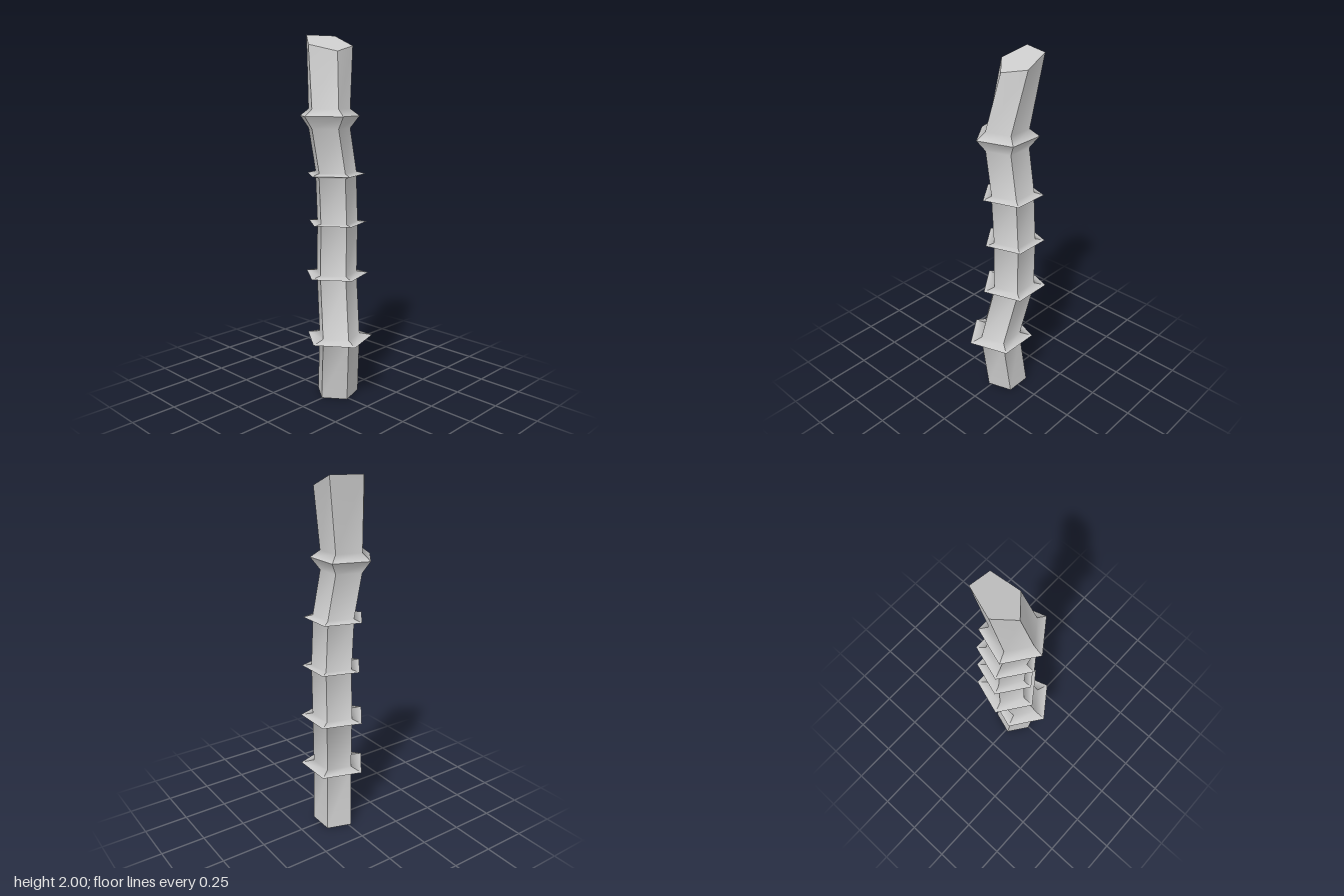
import * as THREE from 'three';

const SIDES = 5;

// Five corners of a horizontal pentagon
function ring(y, r, cx, cz) {
  return Array.from({ length: SIDES }, (_, k) => {
    const a = THREE.MathUtils.degToRad(36 + 72 * k);
    return new THREE.Vector3(cx + r * Math.cos(a), y, cz + r * Math.sin(a));
  });
}

// One facet of the stalk: smooth along its length, sharp at its sides
function strip(rings, k) {
  const next = (k + 1) % SIDES;
  const points = rings.flatMap((r) => [r[k], r[next]]);
  const index = [];
  for (let i = 0; i < rings.length - 1; i++) {
    const a = 2 * i;
    index.push(a, a + 2, a + 1, a + 1, a + 2, a + 3);
  }
  const geo = new THREE.BufferGeometry().setFromPoints(points);
  geo.setIndex(index);
  geo.computeVertexNormals();
  return geo;
}

function cap(corners, up) {
  const geo = new THREE.BufferGeometry().setFromPoints(corners);
  const index = [];
  for (let i = 1; i < SIDES - 1; i++) index.push(0, up ? i + 1 : i, up ? i : i + 1);
  geo.setIndex(index);
  geo.computeVertexNormals();
  return geo;
}

export function createModel() {
  const model = new THREE.Group();
  model.name = 'stalk';
  const material = new THREE.MeshStandardMaterial({ color: 0xcccccc });
  const add = (parent, geo, name) => {
    const mesh = new THREE.Mesh(geo, material);
    mesh.name = name;
    parent.add(mesh);
  };

  // Flared nodes: stem below, lip and stem above (heights), lip radius, centre
  const nodes = [
    { ys: [0.335, 0.346, 0.362], r: 0.193, cx: -0.002, cz: 0.03 },
    { ys: [0.68, 0.692, 0.702], r: 0.186, cx: 0.042, cz: -0.034 },
    { ys: [0.981, 0.987, 0.992], r: 0.171, cx: 0.045, cz: -0.032 },
    { ys: [1.243, 1.257, 1.27], r: 0.171, cx: 0.031, cz: -0.03 },
    { ys: [1.507, 1.573, 1.61], r: 0.172, cx: -0.014, cz: -0.036 },
  ];
  const stemRadius = 0.12;
  const base = ring(0, 0.122, 0.022, -0.005);
  // Slanted cut at the tip
  const tip = [
    [0.148, 1.942, -0.01], [0, 1.907, 0.02], [-0.1, 1.942, -0.095],
    [-0.02, 2, -0.195], [0.142, 2, -0.14],
  ].map((p) => new THREE.Vector3(...p));

  // Split the stalk into sections that meet at the sharp lips
  const sections = [];
  let current = [base];
  for (const { ys, r, cx, cz } of nodes) {
    const lip = ring(ys[1], r, cx, cz);
    current.push(ring(ys[0], stemRadius, cx, cz), lip);
    sections.push(current);
    current = [lip, ring(ys[2], stemRadius, cx, cz)];
  }
  sections.push([...current, tip]);

  sections.forEach((rings, i) => {
    const section = new THREE.Group();
    section.name = `stemSection${i + 1}`;
    for (let k = 0; k < SIDES; k++) add(section, strip(rings, k), 'stemFacet');
    model.add(section);
  });
  add(model, cap(base, false), 'baseCap');
  add(model, cap(tip, true), 'tipCap');
  return model;
}
